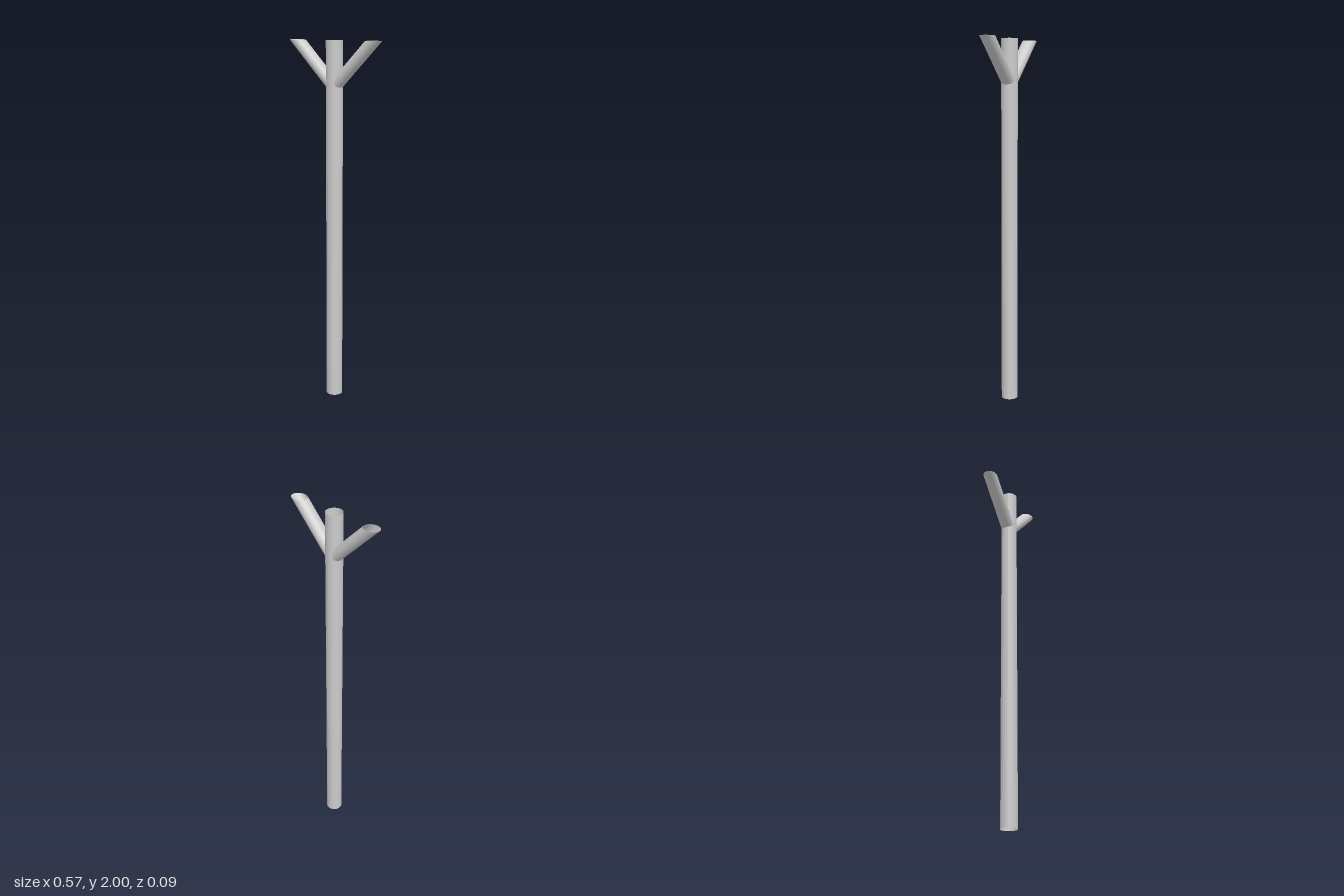
import * as THREE from 'three';

const SIDES = 20;
const HEIGHT = 2;
const TRUNK_RADIUS = 0.045;

// Open oval tube rising at 45 degrees: level rim on top, upright cut inside the trunk.
function branchGeometry() {
  const rimX = 0.24, halfWidth = 0.046, halfDepth = 0.0385, cutX = 0.002;
  const geometry = new THREE.CylinderGeometry(1, 1, 1, SIDES, 1, true);
  const p = geometry.attributes.position;
  for (let i = 0; i < p.count; i++) {
    const topX = rimX + halfWidth * p.getX(i);
    const isRim = p.getY(i) > 0;
    const drop = isRim ? 0 : topX - cutX;
    p.setXYZ(i, topX - drop, HEIGHT - drop, halfDepth * p.getZ(i));
  }
  geometry.computeVertexNormals();
  return geometry;
}

export function createModel() {
  const group = new THREE.Group();
  group.name = 'branchedPost';
  const material = new THREE.MeshStandardMaterial({
    color: 0xcccccc, flatShading: true, side: THREE.DoubleSide,
  });

  const add = (name, geometry) => {
    const mesh = new THREE.Mesh(geometry, material);
    mesh.name = name;
    group.add(mesh);
  };

  // Hollow trunk, open at both ends
  const trunk = new THREE.CylinderGeometry(TRUNK_RADIUS, TRUNK_RADIUS, HEIGHT, SIDES, 1, true);
  add('trunk', trunk.translate(0, HEIGHT / 2, 0));

  // Two opposite branches
  add('leftBranch', branchGeometry());
  add('rightBranch', branchGeometry().rotateY(Math.PI));

  return group;
}
